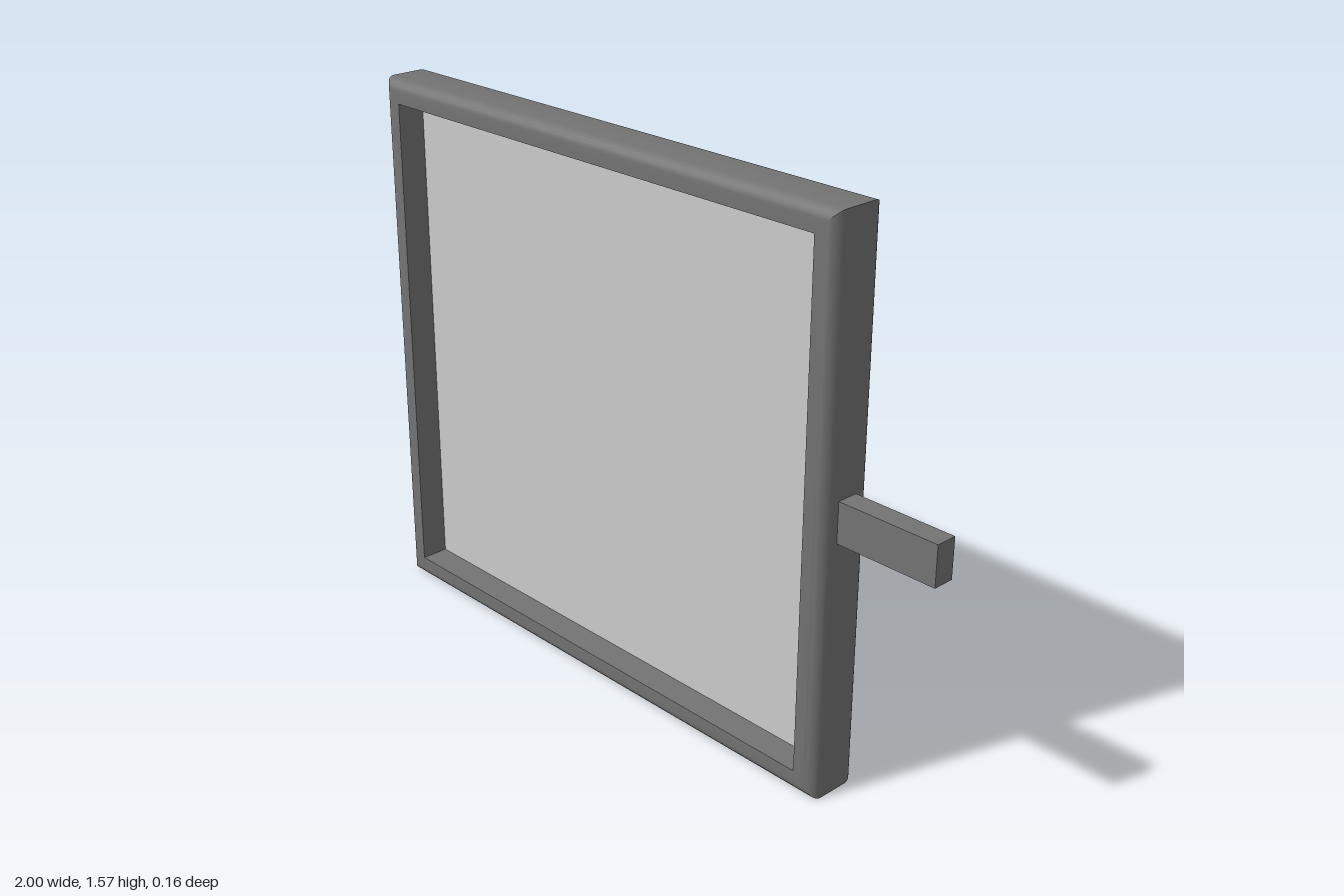
import * as THREE from 'three';
import { toCreasedNormals } from 'three/addons/utils/BufferGeometryUtils.js';

const HALF_W = 0.85, HALF_H = 0.787, HALF_D = 0.082; // frame half sizes
const ROUND = 0.035; // edge rounding
const RIM = 0.066; // rim width
const FLOOR_Z = 0; // depth of the recessed panel

// Sweeps a profile of [inset, z] points round a rectangle with mitred corners
function mitredFrame(profile) {
  const corners = [[-1, -1], [1, -1], [1, 1], [-1, 1]];
  const point = ([sx, sy], [inset, z]) => [sx * (HALF_W - inset), sy * (HALF_H - inset), z];
  const positions = [];
  corners.forEach((c0, k) => {
    const c1 = corners[(k + 1) % 4];
    for (let i = 0; i < profile.length - 1; i++) {
      const a = point(c0, profile[i]), b = point(c1, profile[i]);
      const c = point(c1, profile[i + 1]), d = point(c0, profile[i + 1]);
      positions.push(...a, ...b, ...c, ...a, ...c, ...d);
    }
  });
  const geometry = new THREE.BufferGeometry();
  geometry.setAttribute('position', new THREE.Float32BufferAttribute(positions, 3));
  return toCreasedNormals(geometry, Math.PI / 6);
}

export function createModel() {
  const model = new THREE.Group();
  const dark = new THREE.MeshStandardMaterial({ color: 0x737373 });
  const light = new THREE.MeshStandardMaterial({ color: 0xcccccc });

  const add = (parent, name, geometry, material, x, y, z) => {
    const mesh = new THREE.Mesh(geometry, material);
    mesh.name = name;
    mesh.position.set(x, y, z);
    parent.add(mesh);
    return mesh;
  };

  const body = new THREE.Group();
  body.name = 'body';
  body.position.set(-0.15, HALF_H, 0);
  model.add(body);

  // Rim profile: rounded back edge, rounded front edge, inner wall
  const profile = [];
  const steps = 6;
  for (let i = 0; i <= steps; i++) {
    const a = (i / steps) * Math.PI / 2;
    profile.push([ROUND * (1 - Math.sin(a)), -HALF_D + ROUND * (1 - Math.cos(a))]);
  }
  for (let i = 0; i <= steps; i++) {
    const a = (i / steps) * Math.PI / 2;
    profile.push([ROUND * (1 - Math.cos(a)), HALF_D - ROUND * (1 - Math.sin(a))]);
  }
  profile.push([RIM, HALF_D], [RIM, FLOOR_Z]);
  add(body, 'frame', mitredFrame(profile), dark, 0, 0, 0);

  // Flat back
  const back = new THREE.PlaneGeometry(2 * (HALF_W - ROUND), 2 * (HALF_H - ROUND));
  add(body, 'backPanel', back, dark, 0, 0, -HALF_D).rotation.y = Math.PI;

  // Recessed front panel
  const front = new THREE.PlaneGeometry(2 * (HALF_W - RIM), 2 * (HALF_H - RIM));
  add(body, 'frontPanel', front, light, 0, 0, FLOOR_Z);

  // Side mounting arm
  add(model, 'sideArm', new THREE.BoxGeometry(0.3, 0.114, 0.062), dark, 0.85, HALF_H, 0);

  return model;
}
